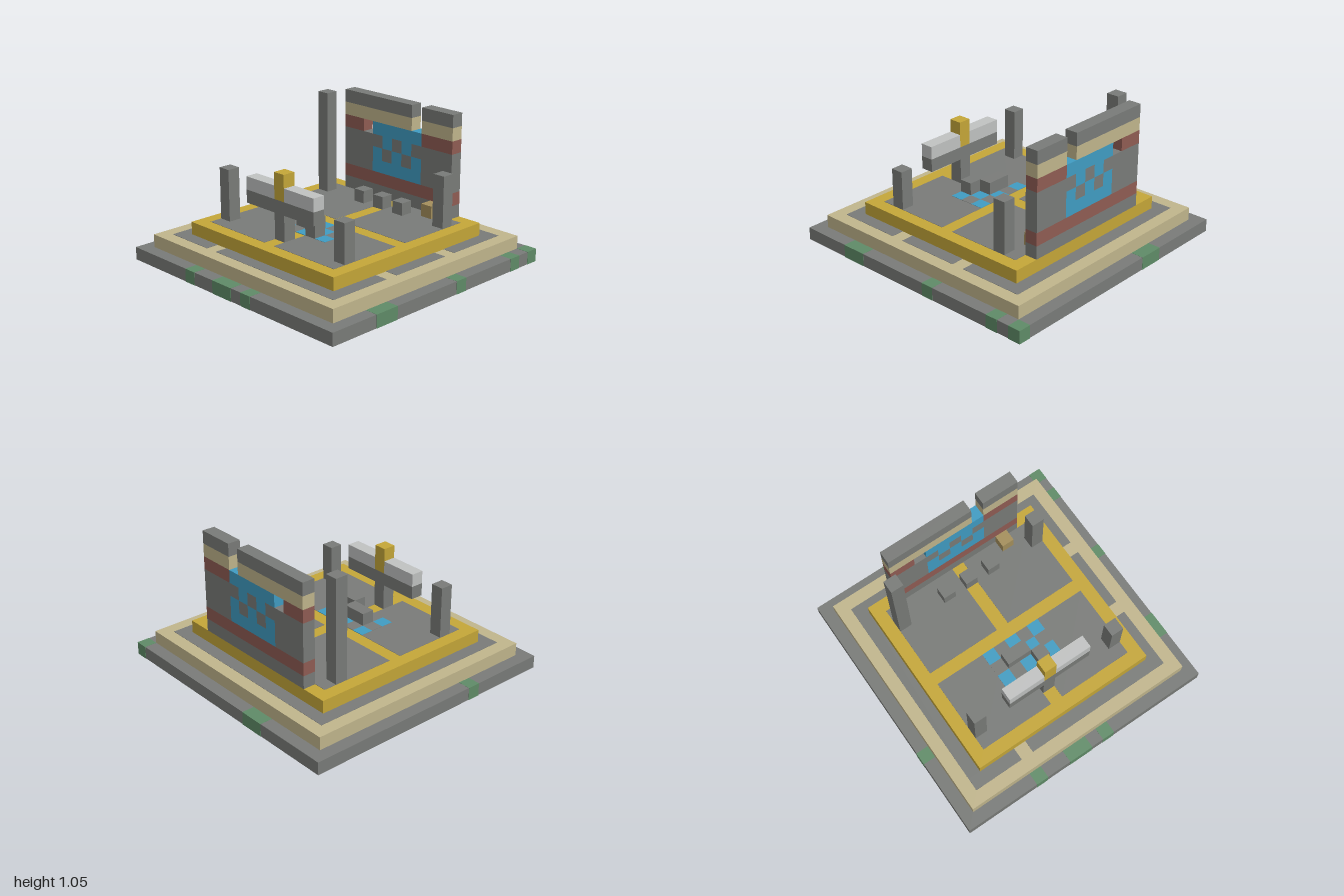
import * as THREE from 'three';

const U = 2 / 21;      // one block
const E = 0.002;       // lift of painted plates

const mat = (name, color) => new THREE.MeshStandardMaterial({ name, color });

export function createModel() {
  const model = new THREE.Group();
  model.name = 'ruinedShrine';
  const M = {
    stone: mat('stone', 0x797b78),
    sand: mat('sand', 0xc0b58c),
    gold: mat('gold', 0xc4a638),
    brick: mat('brick', 0x8f5c53),
    water: mat('blue', 0x409cc2),
    pale: mat('paleStone', 0xc0c2c1),
    moss: mat('moss', 0x5f8b67),
    wood: mat('wood', 0xa48f5c),
  };

  // Box covering whole blocks: x0..x1, y0..y1, z0..z1 (inclusive indices, x and z centred on 0)
  function blocks(name, m, x0, x1, y0, y1, z0, z1, parent = model) {
    const g = new THREE.BoxGeometry((x1 - x0 + 1) * U, (y1 - y0 + 1) * U, (z1 - z0 + 1) * U);
    const mesh = new THREE.Mesh(g, m);
    mesh.position.set((x0 + x1) / 2 * U, (y0 + y1 + 1) / 2 * U, (z0 + z1) / 2 * U);
    mesh.name = name;
    parent.add(mesh);
    return mesh;
  }
  // Thin painted plate lying on top of layer y
  function plate(name, m, x0, x1, y, z0, z1, lift = E) {
    const g = new THREE.BoxGeometry((x1 - x0 + 1) * U, lift * 2, (z1 - z0 + 1) * U);
    const mesh = new THREE.Mesh(g, m);
    mesh.position.set((x0 + x1) / 2 * U, y * U, (z0 + z1) / 2 * U);
    mesh.name = name;
    model.add(mesh);
  }

  // Stepped platform
  const base = new THREE.Mesh(new THREE.BoxGeometry(2 - 2 * E, U - 2 * E, 2 - 2 * E), M.stone);
  base.name = 'baseStep';
  base.position.y = U / 2;
  model.add(base);
  base.scale.y = U / (U - 2 * E) - 0.02;
  blocks('middleStep', M.sand, -9, 9, 1, 1, -9, 9);
  blocks('topStep', M.gold, -7, 7, 2, 2, -7, 7);

  // Moss on the rim of the base: x, z
  [[-4, -10], [-3, -10], [10, -10], [10, -8], [10, -2], [10, 5], [10, 6], [-10, 4],
    [-4, 10], [-1, 10], [0, 10], [2, 10]].forEach(([x, z]) => blocks('mossBlock', M.moss, x, x, 0, 0, z, z));

  // Scattered moss underneath
  let seed = 11;
  const rand = () => (seed = (seed * 16807) % 2147483647) / 2147483647;
  for (let x = -9; x <= 9; x++) {
    for (let z = -9; z <= 9; z++) {
      if (rand() > 0.14) continue;
      const m = blocks('mossUnderside', M.moss, x, x, 0, 0, z, z);
      m.scale.y = 0.1;
      m.position.y = 0.05 * U;
    }
  }

  // Stone path round the middle step, broken by gaps
  plate('pathBack', M.stone, -8, 8, 2, -8, -8);
  plate('pathLeftEdge', M.stone, -8, -8, 2, -7, 7);
  [[-7, -4], [-2, 2], [4, 7]].forEach(([a, b]) => plate('pathRightEdge', M.stone, 8, 8, 2, a, b));
  [[-8, -5], [-3, 8]].forEach(([a, b]) => plate('pathFront', M.stone, a, b, 2, 8, 8));

  // Four floor panels between the gold cross
  for (const x of [-6, 1]) for (const z of [-6, 1]) plate('floorPanel', M.stone, x, x + 5, 3, z, z + 5);

  // Chequered pool floor
  for (let x = -2; x <= 2; x++) {
    for (let z = 1; z <= 3; z++) {
      plate('poolTile', (x + z) % 2 ? M.water : M.stone, x, x, 3, z, z, E * 2);
    }
  }

  // Corner pillars: x, z, top layer
  [[-6, -5, 10], [6, -5, 6], [-6, 5, 6], [6, 5, 5]].forEach(([x, z, top]) =>
    blocks('pillar', M.stone, x, x, 3, top, z, z));

  // Loose blocks
  [-2, 0, 2].forEach((x) => blocks('seatBlock', M.stone, x, x, 3, 3, -5, -5));
  blocks('poolBlockLong', M.stone, -1, 0, 3, 3, 2, 2);
  blocks('poolBlockSmall', M.stone, 1, 1, 3, 3, 3, 3);
  blocks('crate', M.wood, 4, 4, 3, 3, -6, -6);

  // Altar at the front
  const altar = new THREE.Group();
  altar.name = 'altar';
  model.add(altar);
  blocks('altarPost', M.stone, 0, 0, 3, 4, 5, 5, altar);
  blocks('altarBeam', M.stone, -3, 3, 5, 5, 5, 5, altar);
  blocks('altarSlab', M.pale, -3, -1, 6, 6, 5, 5, altar);
  blocks('altarSlab', M.pale, 1, 3, 6, 6, 5, 5, altar);
  blocks('altarOrnament', M.gold, 0, 0, 6, 7, 5, 5, altar);

  // Back wall, one row of blocks per string from the top down; a space is a gap
  const wall = new THREE.Group();
  wall.name = 'backWall';
  model.add(wall);
  const key = { s: M.stone, d: M.sand, b: M.brick, w: M.water };
  ['sssssss sss',
    'ddddddd ddd',
    'bb wwwwwbbb',
    'sssswswssss',
    'ssswswswsss',
    'ssswwwwwsss',
    'bbbbbbbbbbb',
    'sssssssssss'].forEach((row, r) => {
    for (const run of row.matchAll(/s+|d+|b+|w+/g)) {
      const x0 = run.index - 5;
      blocks('wallCourse', key[run[0][0]], x0, x0 + run[0].length - 1, 10 - r, 10 - r, -7, -7, wall);
    }
  });

  return model;
}
